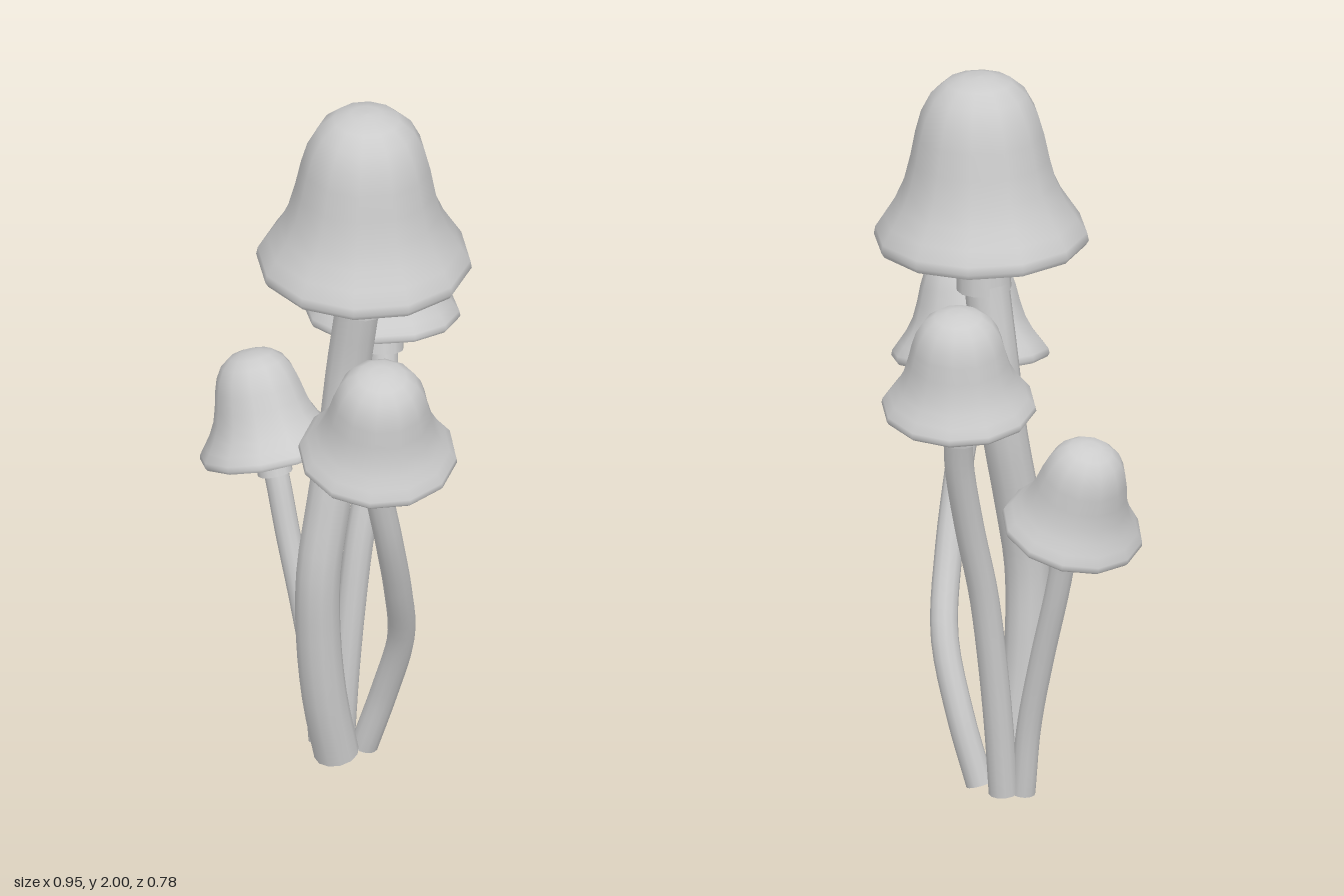
import * as THREE from 'three';

const grey = new THREE.MeshStandardMaterial({ color: 0xcccccc, side: THREE.DoubleSide });
const UP = new THREE.Vector3(0, 1, 0);
const SIDES = 12;

// Bell profile as fractions of rim radius and cap height, from rim to apex
const BELL = [[0.97, 0], [1, 0.03], [0.985, 0.075], [0.9, 0.155], [0.8, 0.25], [0.71, 0.37], [0.65, 0.51],
  [0.6, 0.66], [0.545, 0.78], [0.45, 0.89], [0.31, 0.965], [0.15, 0.995], [0, 1]];
// Hollow underside, from the middle out to the rim
const GILLS = [[0, 0.1], [0.3, 0.09], [0.7, 0.06], [0.88, 0.03], [0.97, 0]];

// stem: points from the ground to the cap; cap: rim centre; lean: direction of the cap's axis
const MUSHROOMS = [
  {
    name: 'tallMushroom', cap: [0.053, 1.53, 0.053], lean: [0.03, 1, 0.005], radius: 0.286, height: 0.47,
    stemRadius: 0.06, collar: [0.044, 1.4, 0.055], collarRadius: 0.073,
    stem: [[-0.028, 0.015, 0.08], [-0.026, 0.2, 0.122], [-0.022, 0.4, 0.147], [-0.014, 0.6, 0.153],
      [-0.012, 0.8, 0.12], [-0.012, 1, 0.08], [-0.002, 1.2, 0.06], [0.03, 1.4, 0.055]],
  },
  {
    name: 'backMushroom', cap: [-0.166, 1.187, -0.192], lean: [-0.1, 1, -0.09], radius: 0.206, height: 0.293,
    stemRadius: 0.039, collar: [-0.152, 1.1, -0.175], collarRadius: 0.06,
    stem: [[-0.09, 0.01, 0.015], [-0.09, 0.2, 0], [-0.09, 0.4, -0.022], [-0.092, 0.6, -0.053],
      [-0.1, 0.8, -0.105], [-0.122, 1, -0.157], [-0.142, 1.1, -0.175]],
  },
  {
    name: 'shortMushroom', cap: [-0.3, 0.812, 0.08], lean: [-0.32, 1, 0], radius: 0.19, height: 0.282,
    stemRadius: 0.033, collar: [-0.282, 0.755, 0.08], collarRadius: 0.047,
    stem: [[-0.117, 0.008, 0.06], [-0.138, 0.2, 0.063], [-0.182, 0.4, 0.07], [-0.236, 0.6, 0.077],
      [-0.275, 0.75, 0.08]],
  },
  {
    name: 'frontMushroom', cap: [0.27, 1.092, 0.185], lean: [0.2, 1, 0.11], radius: 0.211, height: 0.298,
    stemRadius: 0.037, collar: [0.263, 1.005, 0.18], collarRadius: 0.054,
    stem: [[-0.015, 0.015, -0.005], [0.045, 0.2, -0.025], [0.122, 0.4, -0.017], [0.19, 0.6, 0.05],
      [0.237, 0.8, 0.12], [0.258, 1, 0.175]],
  },
];

const vec = (p) => new THREE.Vector3(...p);

function addMesh(parent, name, geometry) {
  const mesh = new THREE.Mesh(geometry, grey);
  mesh.name = name;
  parent.add(mesh);
  return mesh;
}

// Turned shape, with flats facing the axes
function turned(profile, radius, height) {
  const points = profile.map(([r, y]) => new THREE.Vector2(r * radius, y * height));
  return new THREE.LatheGeometry(points, SIDES, Math.PI / SIDES);
}

function createMushroom(m) {
  const group = new THREE.Group();
  group.name = m.name;
  const rim = vec(m.cap);
  const axis = vec(m.lean).normalize();
  const inside = rim.clone().addScaledVector(axis, 0.04);

  // Curved stem running up into the cap, closed at the ground
  const path = new THREE.CatmullRomCurve3([...m.stem.map(vec), inside]);
  addMesh(group, 'stem', new THREE.TubeGeometry(path, 24, m.stemRadius, SIDES));
  const foot = addMesh(group, 'stemBase', new THREE.CircleGeometry(m.stemRadius, SIDES));
  foot.position.copy(path.getPoint(0));
  foot.quaternion.setFromUnitVectors(new THREE.Vector3(0, 0, 1), path.getTangent(0).negate());

  // Sleeve round the top of the stem
  const bottom = vec(m.collar);
  const along = inside.clone().sub(bottom);
  const collar = addMesh(group, 'collar',
    new THREE.CylinderGeometry(m.collarRadius * 0.92, m.collarRadius, along.length(), SIDES));
  collar.position.copy(bottom).addScaledVector(along, 0.5);
  collar.quaternion.setFromUnitVectors(UP, along.normalize());

  // Bell cap and its hollow underside
  const cap = new THREE.Group();
  cap.name = 'cap';
  addMesh(cap, 'capTop', turned(BELL, m.radius, m.height));
  addMesh(cap, 'capUnderside', turned(GILLS, m.radius, m.height));
  cap.position.copy(rim);
  cap.quaternion.setFromUnitVectors(UP, axis);
  group.add(cap);
  return group;
}

export function createModel() {
  const model = new THREE.Group();
  model.name = 'mushroomCluster';
  for (const m of MUSHROOMS) model.add(createMushroom(m));
  return model;
}
